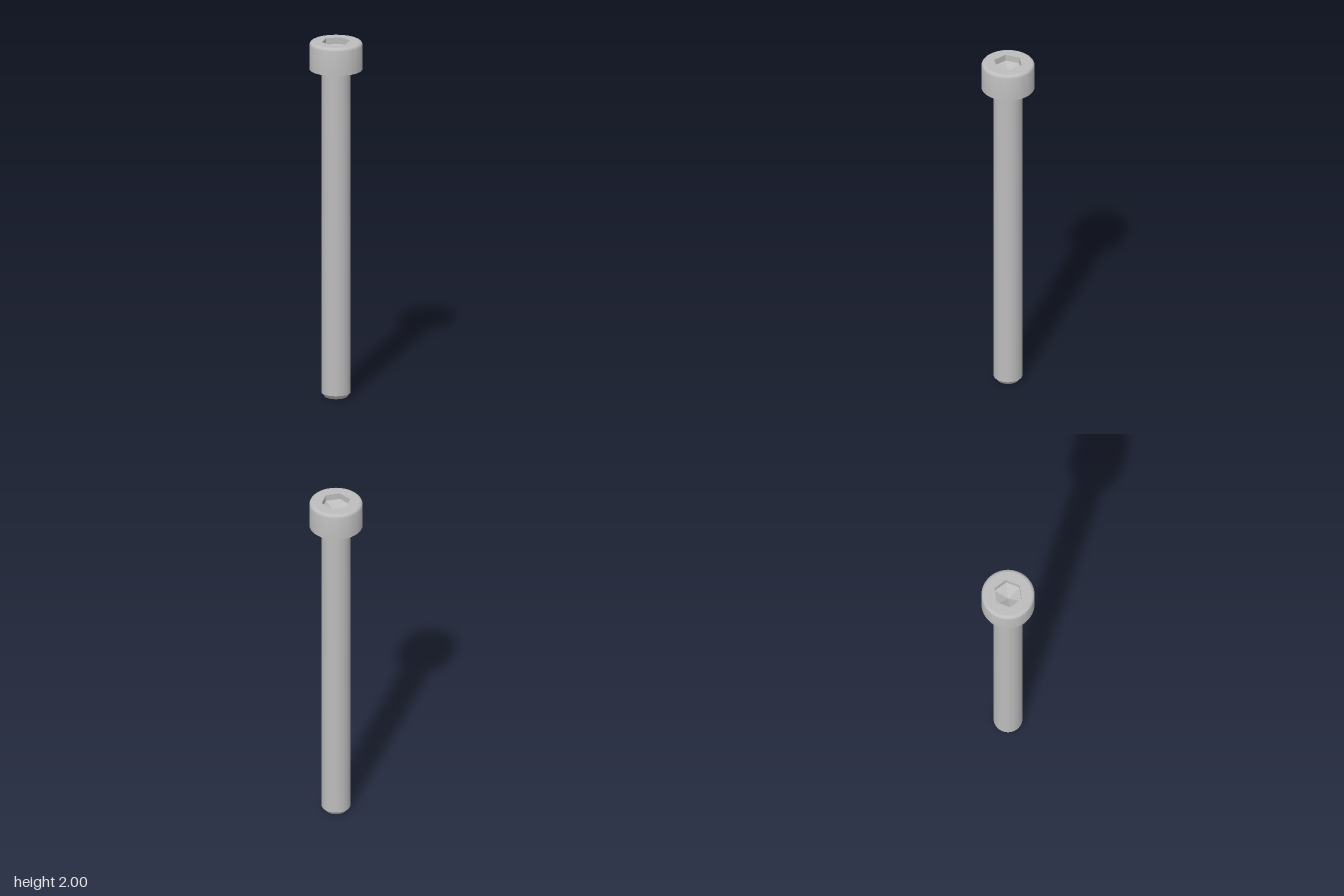
import * as THREE from 'three';
import { toCreasedNormals } from 'three/addons/utils/BufferGeometryUtils.js';

const SIDES = 96;
const TOP = 2, HEAD_BASE = 1.845;
const HEAD_R = 0.144, FILLET = 0.02;
const SHANK_R = 0.078, TIP_R = 0.06, CHAMFER = 0.022;
const HEX_R = 0.079, WALL_DEPTH = 0.036, CONE_DEPTH = 0.04;

export function createModel() {
  const group = new THREE.Group();
  const steel = new THREE.MeshStandardMaterial({ color: 0xbcbcbc });
  steel.name = 'steel grey';

  const add = (name, geometry) => {
    const mesh = new THREE.Mesh(toCreasedNormals(geometry, 0.3), steel);
    mesh.name = name;
    group.add(mesh);
  };
  const lathe = (points, sides) =>
    new THREE.LatheGeometry(points.map(([r, y]) => new THREE.Vector2(r, y)), sides);
  const ring = (radius, sides) => Array.from({ length: sides }, (_, i) => {
    const a = (i / sides) * Math.PI * 2;
    return new THREE.Vector2(Math.sin(a) * radius, Math.cos(a) * radius);
  });

  // Plain shank with a chamfered tip
  add('shank', lathe([[0, 0], [TIP_R, 0], [SHANK_R, CHAMFER], [SHANK_R, HEAD_BASE]], SIDES));

  // Cylindrical head: flat underside and a rounded upper edge
  const profile = [[SHANK_R, HEAD_BASE], [HEAD_R, HEAD_BASE]];
  for (let i = 0; i <= 8; i++) {
    const a = (i / 8) * Math.PI / 2;
    profile.push([
      HEAD_R - FILLET + Math.cos(a) * FILLET,
      TOP - FILLET + Math.sin(a) * FILLET,
    ]);
  }
  add('head', lathe(profile, SIDES));

  // Flat top face with a hexagonal opening
  const face = new THREE.Shape(ring(HEAD_R - FILLET, SIDES));
  face.holes.push(new THREE.Path(ring(HEX_R, 6)));
  add('headTop', new THREE.ShapeGeometry(face).rotateX(-Math.PI / 2).translate(0, TOP, 0));

  // Hex socket: straight walls ending in a six-sided pointed floor
  const floor = TOP - WALL_DEPTH;
  add('hexSocket', lathe([[HEX_R, TOP], [HEX_R, floor], [0, floor - CONE_DEPTH]], 6));

  return group;
}
